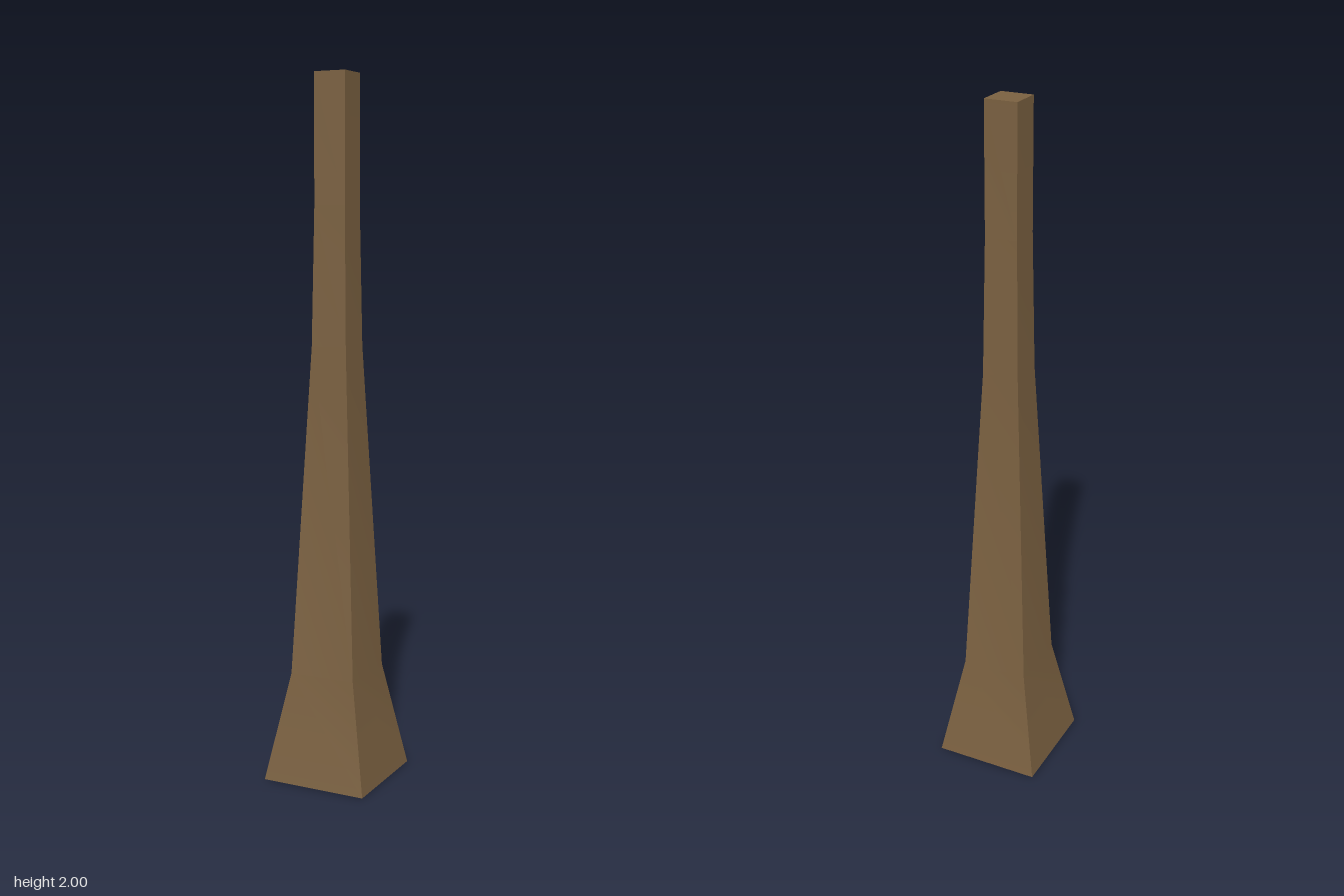
import * as THREE from 'three';
import { toCreasedNormals } from 'three/addons/utils/BufferGeometryUtils.js';

// Half width of the square post at each height, bottom to top
const PROFILE = [
  [0.156, 0],
  [0.098, 0.31],
  [0.053, 1.25],
  [0.047, 1.64],
  [0.047, 2],
];

export function createModel() {
  const model = new THREE.Group();
  model.name = 'taperedPost';

  // Four-sided lathe, closed on the axis at both ends
  const points = [
    new THREE.Vector2(0, 0),
    ...PROFILE.map(([half, y]) => new THREE.Vector2(half * Math.SQRT2, y)),
    new THREE.Vector2(0, 2),
  ];
  const lathe = new THREE.LatheGeometry(points, 4).rotateY(Math.PI / 4);

  // Smooth along the taper, sharp at the corners and caps
  const geometry = toCreasedNormals(lathe, Math.PI / 6);
  const post = new THREE.Mesh(geometry, new THREE.MeshStandardMaterial({ color: 0x7a6040 }));
  post.name = 'post';
  model.add(post);
  return model;
}
